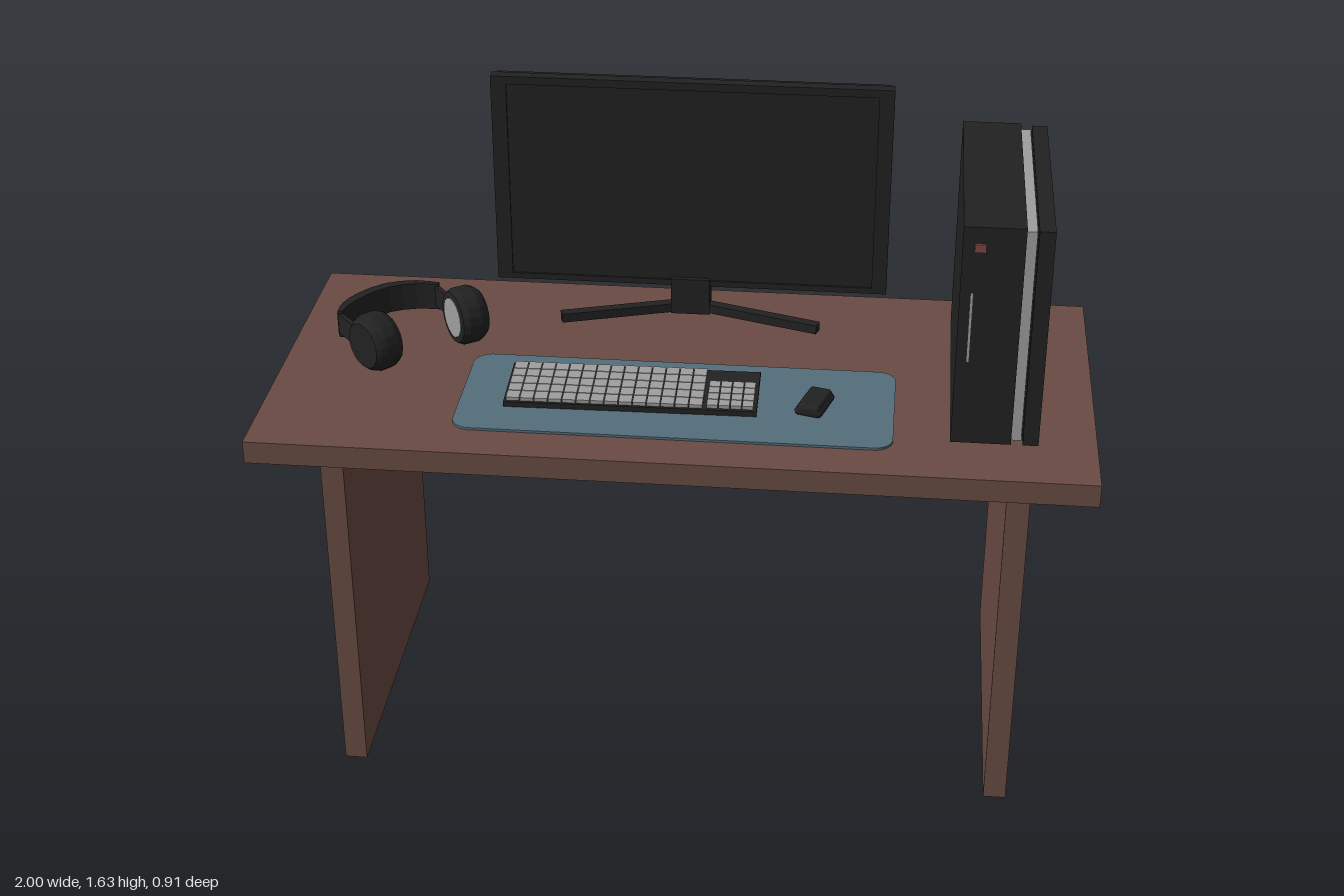
import * as THREE from 'three';
import { RoundedBoxGeometry } from 'three/addons/geometries/RoundedBoxGeometry.js';

const mat = (name, color) => {
  const m = new THREE.MeshStandardMaterial({ color });
  m.name = name;
  return m;
};

export function createModel() {
  const wood = mat('brown wood', 0x6a4b43);
  const black = mat('black plastic', 0x222222);
  const grey = mat('light grey', 0x9e9e9e);
  const blue = mat('blue grey cloth', 0x546e7a);
  const red = mat('dull red', 0x7d4842);

  const root = new THREE.Group();
  root.name = 'computerDesk';
  const group = (name) => {
    const g = new THREE.Group();
    g.name = name;
    root.add(g);
    return g;
  };
  const add = (parent, name, geo, material) => {
    const m = new THREE.Mesh(geo, material);
    m.name = name;
    parent.add(m);
    return m;
  };
  // Box given by its limits on each axis
  const box = (parent, name, material, x0, x1, y0, y1, z0, z1) => {
    const m = add(parent, name, new THREE.BoxGeometry(x1 - x0, y1 - y0, z1 - z0), material);
    m.position.set((x0 + x1) / 2, (y0 + y1) / 2, (z0 + z1) / 2);
    return m;
  };
  // Upright slab between two plan points
  const bar = (parent, name, material, [xa, za], [xb, zb], y0, y1, width) => {
    const len = Math.hypot(xb - xa, zb - za);
    const m = add(parent, name, new THREE.BoxGeometry(len, y1 - y0, width), material);
    m.position.set((xa + xb) / 2, (y0 + y1) / 2, (za + zb) / 2);
    m.rotation.y = -Math.atan2(zb - za, xb - xa);
    return m;
  };
  // Plan outline (x, -z) raised to a height
  const raise = (shape, depth) =>
    new THREE.ExtrudeGeometry(shape, { depth, bevelEnabled: false, curveSegments: 8 }).rotateX(-Math.PI / 2);

  // Desk
  const desk = group('desk');
  box(desk, 'deskTop', wood, -1, 1, 0.888, 0.945, -0.455, 0.455);
  box(desk, 'rightLegPanel', wood, -0.83, -0.775, 0, 0.888, -0.41, 0.41);
  box(desk, 'leftLegPanel', wood, 0.79, 0.845, 0, 0.888, -0.41, 0.41);

  // Monitor: bezel with a recessed screen
  const monitor = group('monitor');
  const rect = (P, x0, x1, y0, y1) => {
    const p = new P();
    p.moveTo(x0, y0);
    p.lineTo(x1, y0);
    p.lineTo(x1, y1);
    p.lineTo(x0, y1);
    p.closePath();
    return p;
  };
  const frame = rect(THREE.Shape, -0.493, 0.487, 1.09, 1.632);
  frame.holes.push(rect(THREE.Path, -0.455, 0.45, 1.105, 1.612));
  const bezel = add(monitor, 'bezel',
    new THREE.ExtrudeGeometry(frame, { depth: 0.03, bevelEnabled: false }), black);
  bezel.position.z = -0.212;
  box(monitor, 'screen', black, -0.456, 0.451, 1.104, 1.613, -0.212, -0.187);
  box(monitor, 'monitorBack', black, -0.485, 0.479, 1.098, 1.624, -0.24, -0.212);
  box(monitor, 'standNeck', black, -0.053, 0.045, 1.014, 1.11, -0.235, -0.175);
  for (const s of [-1, 1]) {
    bar(monitor, 'standFoot', black, [s * 0.02, -0.205], [s * 0.322, -0.107], 1.014, 1.037, 0.026);
  }

  // Tower case
  const tower = group('tower');
  box(tower, 'caseBody', black, 0.655, 0.796, 0.957, 1.51, -0.308, 0.308);
  box(tower, 'caseStripe', grey, 0.796, 0.82, 0.962, 1.498, -0.3, 0.295);
  box(tower, 'caseSidePanel', black, 0.823, 0.86, 0.957, 1.505, -0.308, 0.308);
  box(tower, 'panelJoint', black, 0.818, 0.825, 0.97, 1.49, -0.29, 0.285);
  box(tower, 'powerButton', red, 0.682, 0.708, 1.45, 1.47, 0.306, 0.315);
  box(tower, 'lightStrip', grey, 0.679, 0.686, 1.17, 1.347, 0.306, 0.311);

  // Desk mat with rounded corners
  const pad = new THREE.Shape();
  const [l, r, b, t, c] = [-0.527, 0.522, -0.345, 0.03, 0.045];
  pad.moveTo(l + c, b);
  pad.lineTo(r - c, b);
  pad.absarc(r - c, b + c, c, -Math.PI / 2, 0);
  pad.lineTo(r, t - c);
  pad.absarc(r - c, t - c, c, 0, Math.PI / 2);
  pad.lineTo(l + c, t);
  pad.absarc(l + c, t - c, c, Math.PI / 2, Math.PI);
  pad.lineTo(l, b + c);
  pad.absarc(l + c, b + c, c, Math.PI, Math.PI * 1.5);
  add(root, 'deskMat', raise(pad, 0.006), blue).position.y = 0.945;

  // Keyboard, tilted a little towards the front
  const keyboard = group('keyboard');
  keyboard.position.set(-0.112, 0.964, 0.138);
  keyboard.rotation.set(0.04, 0.015, 0);
  box(keyboard, 'keyboardBase', black, -0.305, 0.305, -0.009, 0.005, -0.093, 0.093);
  const keys = (name, x0, x1, z0, z1, cols, rows) => {
    const dx = (x1 - x0) / cols, dz = (z1 - z0) / rows, gap = 0.0012;
    for (let i = 0; i < cols; i++) for (let j = 0; j < rows; j++) {
      box(keyboard, name, grey, x0 + i * dx + gap, x0 + (i + 1) * dx - gap, 0.004, 0.014,
        z0 + j * dz + gap, z0 + (j + 1) * dz - gap);
    }
  };
  keys('mainKey', -0.3, 0.176, -0.086, 0.088, 14, 5);
  keys('numberKey', 0.184, 0.298, -0.03, 0.086, 4, 4);

  // Mouse: rounded body, narrower and lower at the front
  const mouseGeo = new RoundedBoxGeometry(0.07, 0.034, 0.112, 4, 0.012);
  const p = mouseGeo.attributes.position;
  for (let i = 0; i < p.count; i++) {
    if (p.getY(i) > 0) {
      p.setY(i, p.getY(i) * (1 - 5 * Math.abs(p.getZ(i) - 0.01)));
      p.setX(i, p.getX(i) * 0.8);
    }
  }
  mouseGeo.computeVertexNormals();
  const mouse = add(root, 'mouse', mouseGeo, black);
  mouse.position.set(0.33, 0.966, 0.161);
  mouse.rotation.y = -0.28;

  // Headphones lying flat: band swept in plan, two rods, two ear cups
  const phones = group('headphones');
  const arc = new THREE.CatmullRomCurve3([
    [-0.66, -0.238], [-0.72, -0.24], [-0.79, -0.215], [-0.845, -0.155], [-0.872, -0.1], [-0.878, -0.055],
  ].map(([x, z]) => new THREE.Vector3(x, 0, z)));
  const outer = [], inner = [], steps = 10;
  for (let i = 0; i <= steps; i++) {
    const q = arc.getPoint(i / steps), d = arc.getTangent(i / steps);
    const w = 0.006 + 0.007 * Math.sin((Math.PI * i) / steps);
    outer.push(new THREE.Vector2(q.x + d.z * w, -(q.z - d.x * w)));
    inner.unshift(new THREE.Vector2(q.x - d.z * w, -(q.z + d.x * w)));
  }
  add(phones, 'headband', raise(new THREE.Shape([...outer, ...inner]), 0.072), black).position.y = 0.965;
  bar(phones, 'leftRod', black, [-0.668, -0.24], [-0.6, -0.15], 0.975, 1.03, 0.012);
  bar(phones, 'rightRod', black, [-0.881, -0.063], [-0.805, 0.025], 0.975, 1.03, 0.012);

  const up = new THREE.Vector3(0, 1, 0);
  const cup = (name, x, z, dx, dz) => {
    const g = new THREE.Group();
    g.name = name;
    g.position.set(x, 1.02, z);
    g.quaternion.setFromUnitVectors(up, new THREE.Vector3(dx, 0, dz).normalize());
    phones.add(g);
    const profile = [[0, -0.038], [0.058, -0.038], [0.067, -0.028], [0.074, -0.012],
      [0.074, 0.02], [0.066, 0.036], [0.052, 0.038], [0.05, 0.034], [0, 0.034]];
    const shell = new THREE.LatheGeometry(profile.map(([a, h]) => new THREE.Vector2(a, h)), 20).toNonIndexed();
    shell.computeVertexNormals();
    add(g, 'cupShell', shell, black);
    add(g, 'speakerFace', new THREE.CylinderGeometry(0.051, 0.051, 0.006, 20), grey).position.y = 0.036;
  };
  cup('leftEarCup', -0.565, -0.105, -0.82, 0.57);
  cup('rightEarCup', -0.762, 0.062, 0.67, -0.74);

  return root;
}
